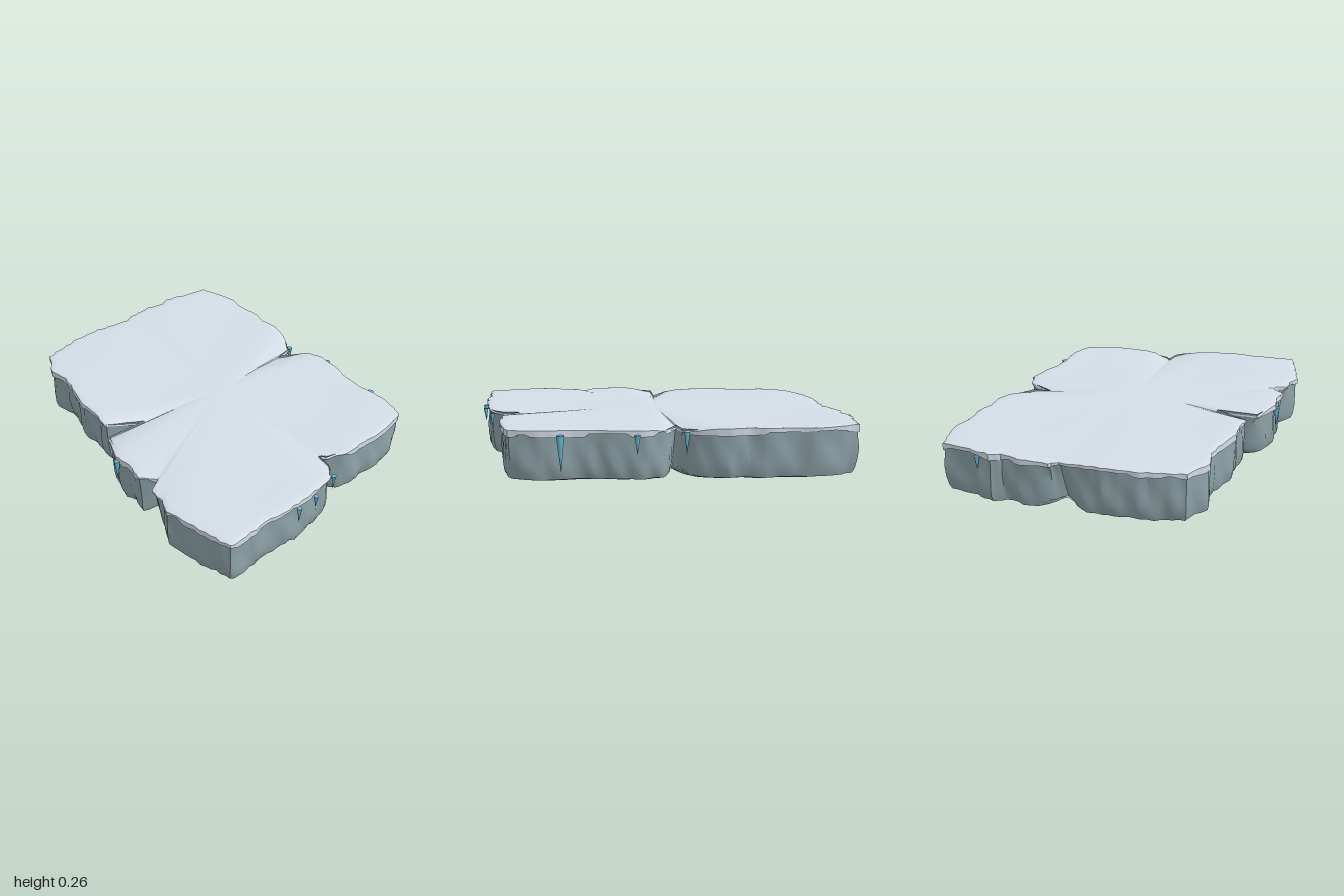
import * as THREE from 'three';
import { toCreasedNormals } from 'three/addons/utils/BufferGeometryUtils.js';

// Plan outline as x, z pairs, running from the back corner round by +x
const OUTLINE = [
  0.17, -1, 0.23, -0.93, 0.3, -0.84, 0.32, -0.76, 0.38, -0.65, 0.39, -0.58, 0.44, -0.5, 0.455, -0.4,
  0.45, -0.29, 0.38, -0.24, 0.52, -0.23, 0.58, -0.16, 0.61, -0.07, 0.63, 0.04, 0.66, 0.12, 0.71, 0.2,
  0.74, 0.28, 0.755, 0.38, 0.69, 0.44, 0.6, 0.5, 0.52, 0.535, 0.42, 0.58, 0.34, 0.58, 0.3, 0.57,
  0.32, 0.64, 0.3, 0.7, 0.22, 0.77, 0.13, 0.82, 0.04, 0.87, -0.05, 0.9, -0.15, 0.96, -0.22, 0.99,
  -0.28, 0.92, -0.35, 0.83, -0.42, 0.74, -0.42, 0.67, -0.45, 0.6, -0.41, 0.54, -0.49, 0.51, -0.51, 0.43,
  -0.56, 0.35, -0.57, 0.2, -0.4, 0.125, -0.57, 0.11, -0.6, 0.02, -0.65, -0.07, -0.67, -0.17, -0.7, -0.3,
  -0.76, -0.38, -0.76, -0.52, -0.68, -0.58, -0.6, -0.65, -0.5, -0.7, -0.42, -0.74, -0.31, -0.78, -0.29, -0.82,
  -0.18, -0.88, -0.09, -0.9, -0.06, -0.94, 0.04, -0.955,
];
// Clefts between the stones: direction (x, z), strength on the snow
const CLEFTS = [[0.38, -0.24, 1], [0.3, 0.57, 0.9], [-0.41, 0.54, 0.4], [-0.4, 0.125, 1], [-0.31, -0.79, 0.3]];
// Icicles: x, z, length, radius
const ICICLES = [
  [0.705, 0.16, 0.16, 0.018], [0.6, -0.14, 0.085, 0.013], [0.455, -0.31, 0.1, 0.013], [0.315, 0.69, 0.075, 0.011],
  [0.2, 0.79, 0.06, 0.011], [0.11, 0.84, 0.08, 0.011], [-0.555, 0.36, 0.11, 0.013], [0, -0.95, 0.06, 0.012],
];

function seeded(seed) {
  return () => (seed = (seed * 16807) % 2147483647) / 2147483647;
}

// Subdivided outline with slightly ragged edge
function raggedOutline() {
  const random = seeded(71), points = [], n = OUTLINE.length / 2, steps = 4;
  for (let i = 0; i < n; i++) {
    const j = (i + 1) % n;
    for (let s = 0; s < steps; s++) {
      const t = s / steps, k = s ? 1 + (random() - 0.5) * 0.014 : 1;
      points.push([
        THREE.MathUtils.lerp(OUTLINE[2 * i], OUTLINE[2 * j], t) * k,
        THREE.MathUtils.lerp(OUTLINE[2 * i + 1], OUTLINE[2 * j + 1], t) * k,
      ]);
    }
  }
  return points;
}

// Closeness of a direction to the clefts, 0 to 1
function cleft(x, z, width, weighted) {
  let most = 0;
  for (const [cx, cz, strength] of CLEFTS) {
    const d = Math.atan2(cx * z - cz * x, cx * x + cz * z) / width;
    most = Math.max(most, Math.exp(-d * d) * (weighted ? strength : 1));
  }
  return most;
}

// Skin rings of points; each ring is a function of (point, index)
function loft(outline, rings, crease) {
  const n = outline.length, positions = [], index = [];
  for (const ring of rings) outline.forEach((p, i) => positions.push(...ring(p, i)));
  for (let k = 0; k < rings.length - 1; k++) {
    for (let i = 0; i < n; i++) {
      const a = k * n + i, b = k * n + ((i + 1) % n), c = a + n, d = b + n;
      index.push(a, b, c, b, d, c);
    }
  }
  const geometry = new THREE.BufferGeometry();
  geometry.setAttribute('position', new THREE.Float32BufferAttribute(positions, 3));
  geometry.setIndex(index);
  return toCreasedNormals(geometry, crease);
}

// Point moved outward by a distance
function pushOut([x, z], distance, scale = 1) {
  const r = Math.hypot(x, z), k = scale * (1 + distance / r);
  return [x * k, z * k];
}

function addMesh(group, name, geometry, material) {
  const mesh = new THREE.Mesh(geometry, material);
  mesh.name = name;
  group.add(mesh);
  return mesh;
}

export function createModel() {
  const group = new THREE.Group();
  group.name = 'snowyStoneSlab';
  const rock = new THREE.MeshStandardMaterial({ name: 'blue grey rock', color: 0x8da3a8, side: THREE.DoubleSide });
  const snow = new THREE.MeshStandardMaterial({ name: 'snow', color: 0xd5dee8, side: THREE.DoubleSide });
  const ice = new THREE.MeshStandardMaterial({ name: 'ice', color: 0x68bdd8 });
  const outline = raggedOutline();

  // Rock: lumpy walls cut by clefts, then a shallow underside
  const wall = (y, inset) => (p) => {
    const angle = Math.atan2(p[1], p[0]);
    const lump = 0.005 * Math.sin(angle * 23 + y * 14) + 0.004 * Math.sin(angle * 41 - y * 25);
    const low = 1 - y / 0.24;
    const cut = 0.09 * low * cleft(p[0], p[1], 0.06);
    const [x, z] = pushOut(p, -inset - 0.005 + lump * Math.min(1, low * 3) - cut);
    return [x, y + (y < 0.06 ? 0.03 * cleft(p[0], p[1], 0.05) : 0), z];
  };
  const base = (scale, y) => (p) => {
    const groove = 0.03 * scale * cleft(p[0], p[1], 0.06);
    const [x, z] = pushOut(p, -0.03, scale);
    return [x, y + groove, z];
  };
  addMesh(group, 'rockSlab', loft(outline, [
    wall(0.24, 0), wall(0.2, 0.002), wall(0.15, 0), wall(0.1, 0), wall(0.06, 0.003), wall(0.035, 0.012),
    base(0.95, 0.024), base(0.8, 0.012), base(0.6, 0.004), base(0.35, 0.001), base(0.001, 0),
  ], 0.75), rock);

  // Snow cap: gently rolling top, dipping at the clefts
  const top = (scale, drop = 0) => (p) => {
    const x = p[0] * scale, z = p[1] * scale;
    const roll = 0.003 * Math.sin(x * 7 + 1) * Math.cos(z * 6);
    const dip = 0.024 * scale * scale * cleft(x, z, 0.15, true);
    return [x, 0.253 + roll - dip - drop, z];
  };
  // Uneven snow edge in short hanging pieces
  const random = seeded(19), hang = [];
  while (hang.length < outline.length) {
    const depth = random() < 0.5 ? 0.216 + random() * 0.01 : 0.23 + random() * 0.006;
    for (let k = 2 + Math.floor(random() * 4); k > 0; k--) hang.push(depth);
  }
  const hem = (distance, lift) => (p, i) => {
    const [x, z] = pushOut(p, distance);
    return [x, Math.min(hang[i] + lift, top(1)(p)[1] - 0.006), z];
  };
  addMesh(group, 'snowCap', loft(outline, [
    top(0.001), top(0.2), top(0.4), top(0.6), top(0.75), top(0.88), top(0.96), top(0.993, 0.001),
    (p) => { const [x, z] = pushOut(p, 0.003); return [x, top(1)(p)[1] - 0.004, z]; },
    hem(0.003, 0), hem(-0.015, 0.003),
  ], 0.7), snow);

  // Icicles hanging from the snow edge
  for (const [x, z, length, radius] of ICICLES) {
    const cone = new THREE.ConeGeometry(radius, length, 7, 4).rotateX(Math.PI);
    const [px, pz] = pushOut([x, z], 0.006);
    addMesh(group, 'icicle', cone, ice).position.set(px, 0.23 - length / 2, pz);
  }
  return group;
}
